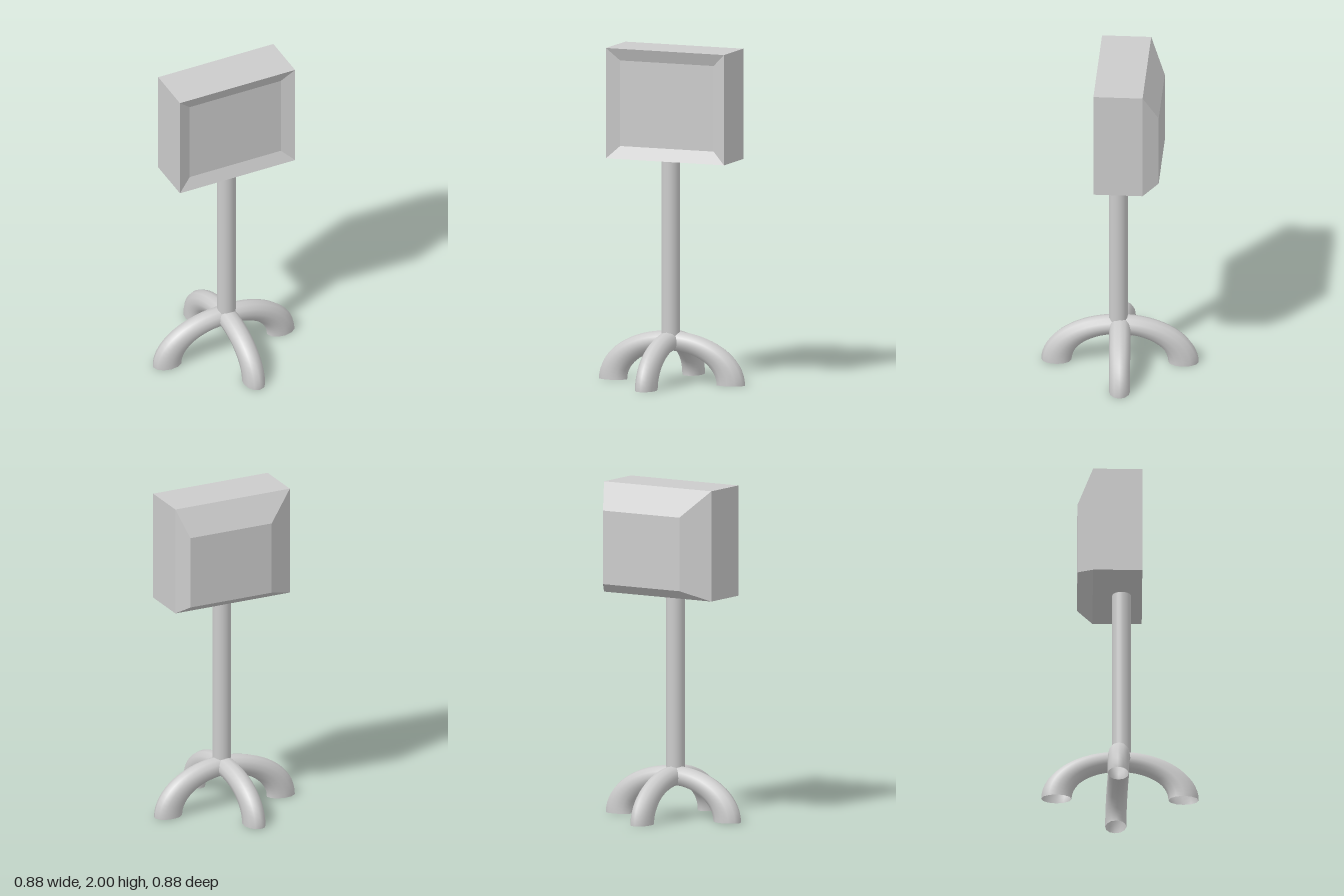
import * as THREE from 'three';

const grey = new THREE.MeshStandardMaterial({ color: 0xcccccc, side: THREE.DoubleSide });

// Flat-faced solid through rectangular rings [z, left, right, bottom, top], back to front
function loftRectangles(rings) {
  const corners = rings.map(([z, l, r, b, t]) => [[l, b, z], [r, b, z], [r, t, z], [l, t, z]]);
  const positions = [];
  const quad = (a, b, c, d) => positions.push(...a, ...b, ...c, ...a, ...c, ...d);
  for (let k = 0; k < corners.length - 1; k++) {
    for (let i = 0; i < 4; i++) {
      const j = (i + 1) % 4;
      quad(corners[k][i], corners[k][j], corners[k + 1][j], corners[k + 1][i]);
    }
  }
  const [a, b, c, d] = corners[0];
  quad(d, c, b, a);
  quad(...corners[corners.length - 1]);
  const geometry = new THREE.BufferGeometry();
  geometry.setAttribute('position', new THREE.Float32BufferAttribute(positions, 3));
  geometry.computeVertexNormals();
  return geometry;
}

export function createModel() {
  const model = new THREE.Group();
  model.name = 'monitorOnStand';

  // Monitor: off-centre rear bulge, square body, recessed screen
  const monitor = new THREE.Mesh(loftRectangles([
    [-0.238, -0.213, 0.327, 1.40, 1.84],
    [-0.146, -0.38, 0.38, 1.34, 2],
    [0.146, -0.38, 0.38, 1.34, 2],
    [0.116, -0.301, 0.301, 1.414, 1.926],
  ]), grey);
  monitor.name = 'monitor';
  monitor.position.set(-0.008, 0, -0.022);
  monitor.rotation.y = 1.21;
  model.add(monitor);

  // Pole
  const pole = new THREE.Mesh(new THREE.CylinderGeometry(0.056, 0.056, 1.07, 24), grey);
  pole.name = 'pole';
  pole.position.set(0.01, 0.815, 0);
  model.add(pole);

  // Four arched legs: squashed quarter rings with open feet
  const arch = new THREE.TorusGeometry(0.377, 0.09, 12, 16, Math.PI / 2);
  arch.scale(1, 0.66, 0.7);
  const legs = new THREE.Group();
  legs.name = 'legs';
  [-0.353, Math.PI / 2 - 0.3, Math.PI - 0.324, -Math.PI / 2 - 0.393].forEach((angle, i) => {
    const leg = new THREE.Mesh(arch, grey);
    leg.name = `leg${i + 1}`;
    leg.rotation.y = angle;
    leg.position.y = 0.004;
    legs.add(leg);
  });
  model.add(legs);

  return model;
}
